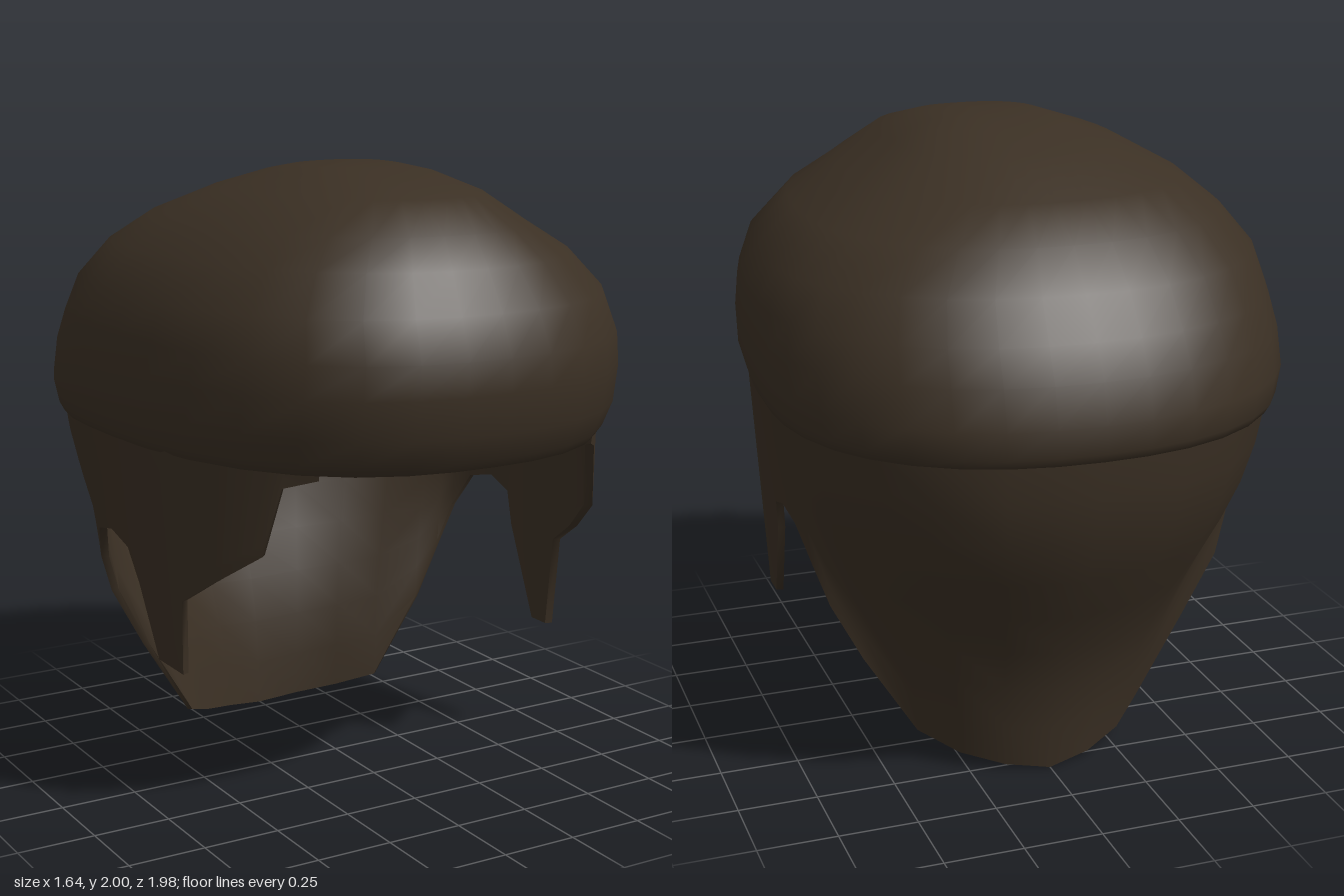
import * as THREE from 'three';
import { toCreasedNormals } from 'three/addons/utils/BufferGeometryUtils.js';

// Skin a grid of points; rows[i][j] are joined to their neighbours.
function loft(rows, { closeCols = false, closeRows = false, flip = false } = {}) {
  const R = rows.length, C = rows[0].length, index = [];
  for (let i = 0; i < (closeRows ? R : R - 1); i++) {
    for (let j = 0; j < (closeCols ? C : C - 1); j++) {
      const i2 = (i + 1) % R, j2 = (j + 1) % C;
      const a = i * C + j, b = i * C + j2, c = i2 * C + j2, d = i2 * C + j;
      if (flip) index.push(a, d, c, a, c, b);
      else index.push(a, b, c, a, c, d);
    }
  }
  const geo = new THREE.BufferGeometry();
  geo.setAttribute('position', new THREE.Float32BufferAttribute(rows.flat(2), 3));
  geo.setIndex(index);
  return toCreasedNormals(geo, 1.1);
}

// Egg-shaped cross-section of the crown, widest a little behind the middle.
function ring([y, right, left, front, back], columns = 36) {
  const half = (front - back) / 2, widest = (front + back) / 2 - 0.2 * half;
  return Array.from({ length: columns }, (_, k) => {
    const a = (k / columns) * Math.PI * 2, s = Math.sin(a), c = Math.cos(a);
    const n = c < 0 ? 2.25 : s > 0 ? 2.35 : 2.55;
    const r = (Math.abs(s) ** n + Math.abs(c) ** n) ** (-1 / n);
    return [s * r * (s < 0 ? right : left), y, widest + c * r * half * (c < 0 ? 0.8 : 1.2)];
  });
}

// Crown: up the inside, around the hem, then over the outside.
function crownGeometry() {
  const rings = [
    [1.60, 0, 0, 0.05, 0.05],
    [1.55, 0.36, 0.36, 0.36, -0.28],
    [1.40, 0.60, 0.60, 0.56, -0.54],
    [1.17, 0.71, 0.71, 0.66, -0.70],
    [1.15, 0.75, 0.75, 0.74, -0.90],
    [1.17, 0.785, 0.785, 0.91, -0.965],
    [1.20, 0.80, 0.80, 0.935, -0.985],
    [1.28, 0.825, 0.82, 0.97, -0.975],
    [1.40, 0.82, 0.82, 0.99, -0.945],
    [1.50, 0.805, 0.805, 0.985, -0.89],
    [1.62, 0.775, 0.76, 0.935, -0.81],
    [1.74, 0.68, 0.63, 0.86, -0.71],
    [1.83, 0.58, 0.45, 0.79, -0.55],
    [1.92, 0.42, 0.31, 0.64, -0.30],
    [1.97, 0.27, 0.21, 0.43, -0.13],
    [1.99, 0.21, 0.12, 0.32, -0.01],
    [2.00, 0, 0, 0.15, 0.15],
  ];
  return loft(rings.map((r) => ring(r)), { closeCols: true });
}

// Columns of one side from temple to nape: top x, z and lower edge x, y, z.
function sideColumns(tip) {
  return [
    [0.485, 0.74, 0.485, 1.15, 0.73],
    [0.56, 0.66, 0.56, 1.12, 0.65],
    [0.59, 0.62, 0.60, 0.91, 0.60],
    [0.685, 0.45, 0.68, 0.79, 0.42],
    [0.74, 0.30, 0.71, 0.71, 0.29],
    [0.75, 0.27, 0.70, tip.y, 0.27],
    [0.76, tip.z, 0.70, tip.y, tip.z],
    [0.78, 0.04, 0.725, 0.70, 0.02],
    [0.785, -0.03, 0.74, 0.81, -0.03],
    [0.785, -0.14, 0.745, 0.845, -0.14],
    [0.785, -0.26, 0.735, 0.82, -0.26],
    [0.775, -0.34, 0.70, 0.70, -0.33],
    [0.76, -0.42, 0.655, 0.57, -0.355],
    [0.73, -0.53, 0.55, 0.37, -0.345],
    [0.635, -0.70, 0.38, 0.10, -0.36],
    [0.48, -0.84, 0.27, 0.05, -0.46],
    [0.28, -0.925, 0.14, 0.02, -0.53],
  ];
}

// Lower hair: temples, sideburns, ear openings and a nape that thickens upward.
function wallGeometry() {
  const columns = [
    ...sideColumns({ y: 0.41, z: 0.19 }),
    [0, -0.955, 0, 0, -0.56],
    ...sideColumns({ y: 0.47, z: 0.10 }).reverse().map(([tx, tz, x, y, z]) => [-tx, tz, -x, y, z]),
  ];
  const steps = 8, topY = 1.2, rows = [];
  for (const inside of [false, true]) {
    for (let k = 0; k <= steps; k++) {
      const t = (inside ? steps - k : k) / steps;
      rows.push(columns.map(([tx, tz, x, y, z], j) => {
        const end = j === 0 || j === columns.length - 1;
        const rear = THREE.MathUtils.clamp((-tz - 0.3) * 1.6, 0, 1);
        const s = 1 + 0.06 * Math.sin(2 * Math.PI * t) * rear;
        const inset = inside && !end ? 0.065 * (1 - 0.5 * t) : 0;
        const thicken = inside ? 0.2 * (1 - t) * rear : 0;
        return [
          (tx + (x - tx) * t) * s * (1 - inset),
          topY + (y - topY) * t,
          (tz + (z - tz) * t) * s * (1 - inset - thicken),
        ];
      }));
    }
  }
  return loft(rows, { closeRows: true, flip: true });
}

export function createModel() {
  const model = new THREE.Group();
  model.name = 'hair';
  const brown = new THREE.MeshStandardMaterial({ color: 0x3b3024 });
  brown.name = 'dark brown hair';
  brown.side = THREE.DoubleSide;

  const crown = new THREE.Mesh(crownGeometry(), brown);
  crown.name = 'crown';
  const lower = new THREE.Mesh(wallGeometry(), brown);
  lower.name = 'sidesAndNape';
  model.add(crown, lower);
  return model;
}
